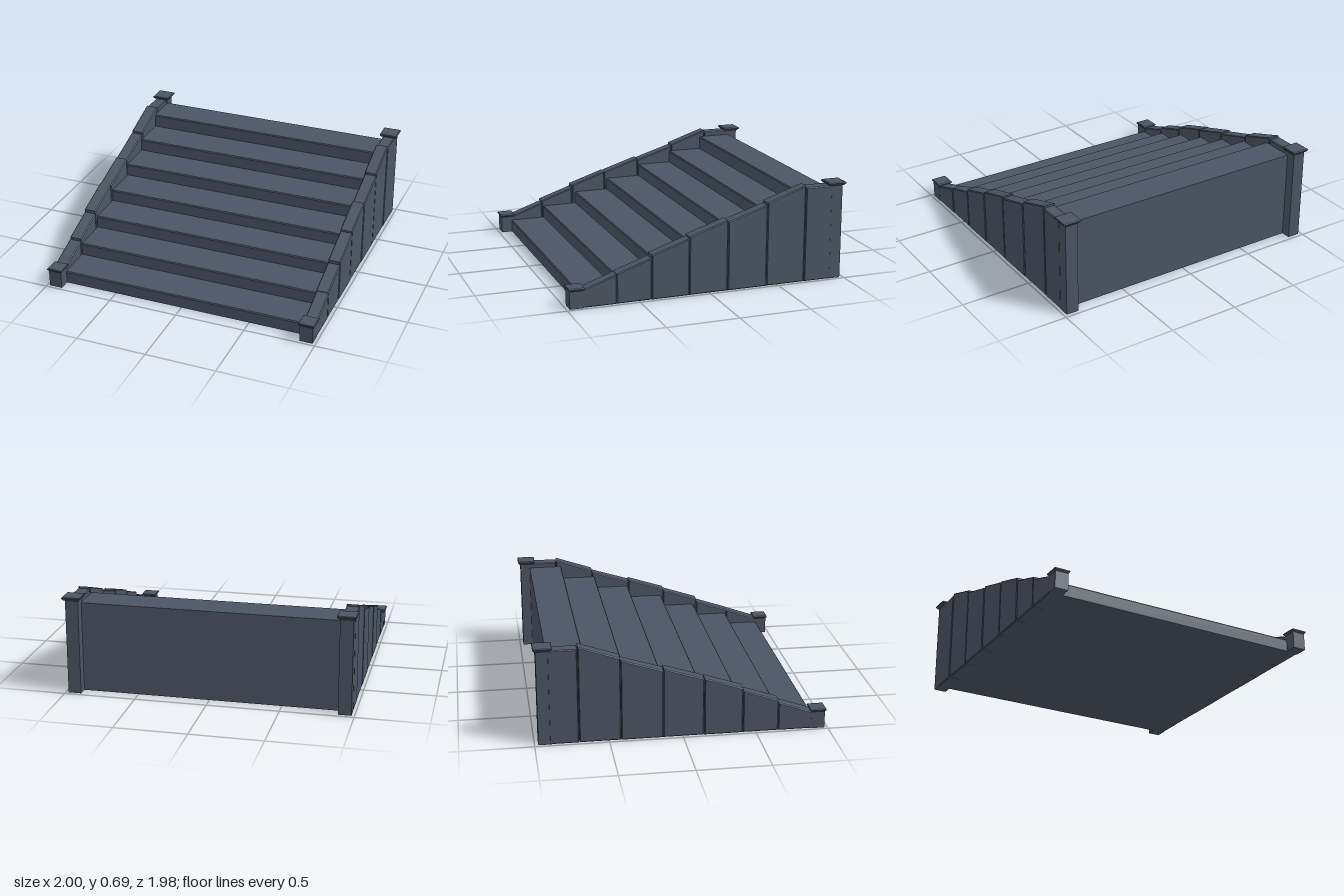
import * as THREE from 'three';

const material = new THREE.MeshStandardMaterial({ color: 0x4b5565, flatShading: true });

// Extrudes a (z, y) outline across x, centred on cx.
function slab(name, points, width, cx, bevel) {
  const shape = new THREE.Shape(points.map(([z, y]) => new THREE.Vector2(z, y)));
  const geometry = new THREE.ExtrudeGeometry(shape, {
    depth: width - 2 * bevel,
    bevelEnabled: bevel > 0,
    bevelThickness: bevel,
    bevelSize: bevel,
    bevelOffset: -bevel,
    bevelSegments: 1,
  });
  geometry.translate(0, 0, bevel - width / 2);
  geometry.rotateY(-Math.PI / 2);
  const mesh = new THREE.Mesh(geometry, material);
  mesh.name = name;
  mesh.position.x = cx;
  return mesh;
}

// Square post with a thin cap flared outward from below.
function post(name, x, z, size, height, capSize) {
  const group = new THREE.Group();
  group.name = name;
  const shaft = new THREE.Mesh(new THREE.BoxGeometry(size, height, size), material);
  shaft.name = name + 'Shaft';
  shaft.position.y = height / 2;
  const r = capSize / Math.SQRT2;
  const profile = [[0, -0.012], [r - 0.018, -0.012], [r, 0.003], [r, 0.009], [r - 0.005, 0.013], [0, 0.013]];
  const cap = new THREE.Mesh(
    new THREE.LatheGeometry(profile.map(([a, b]) => new THREE.Vector2(a, b)), 4, Math.PI / 4), material);
  cap.name = name + 'Cap';
  cap.position.y = height + 0.002;
  group.add(shaft, cap);
  group.position.set(x, 0, z);
  return group;
}

export function createModel() {
  const model = new THREE.Group();
  model.name = 'stoneStairs';

  // Solid flight of steps with chamfered tread edges
  const risers = [0.9, 0.645, 0.385, 0.125, -0.14, -0.4, -0.66];
  const treads = [0.09, 0.18, 0.27, 0.357, 0.447, 0.537, 0.633];
  const outline = [[-0.905, 0], [0.9, 0]];
  treads.forEach((y, i) => {
    if (i) outline.push([risers[i], treads[i - 1]]);
    outline.push([risers[i], y - 0.008], [risers[i] - 0.006, y]);
  });
  outline.push([-0.905, 0.633]);
  model.add(slab('steps', outline, 1.8, 0, 0));

  // Side wall blocks: front z, back z, top at front, top at back, settling of the left block
  const blocks = [
    [0.9, 0.657, 0.118, 0.203, 0],
    [0.655, 0.413, 0.221, 0.303, 0.015],
    [0.409, 0.146, 0.323, 0.41, 0.015],
    [0.143, -0.131, 0.407, 0.495, 0],
    [-0.134, -0.417, 0.484, 0.572, 0],
    [-0.42, -0.699, 0.588, 0.682, 0],
    [-0.703, -0.9, 0.668, 0.668, 0],
  ];
  for (const side of [-1, 1]) {
    const label = side > 0 ? 'left' : 'right';
    const wall = new THREE.Group();
    wall.name = label + 'Wall';
    blocks.forEach(([front, back, yFront, yBack, drop], i) => {
      const d = side > 0 ? drop : 0;
      const points = [[back, 0], [front, 0], [front, yFront - d], [back, yBack - d]];
      wall.add(slab('wallBlock' + (i + 1), points, 0.088, side * (0.936 - (i % 2) * 0.002), 0.006));
    });
    model.add(wall);

    // End posts
    model.add(post(label + 'FrontPost', side * 0.934, 0.932, 0.094, 0.126, 0.112));
    model.add(post(label + 'BackPost', side * 0.934, -0.93, 0.09, 0.675, 0.128));
  }
  return model;
}
